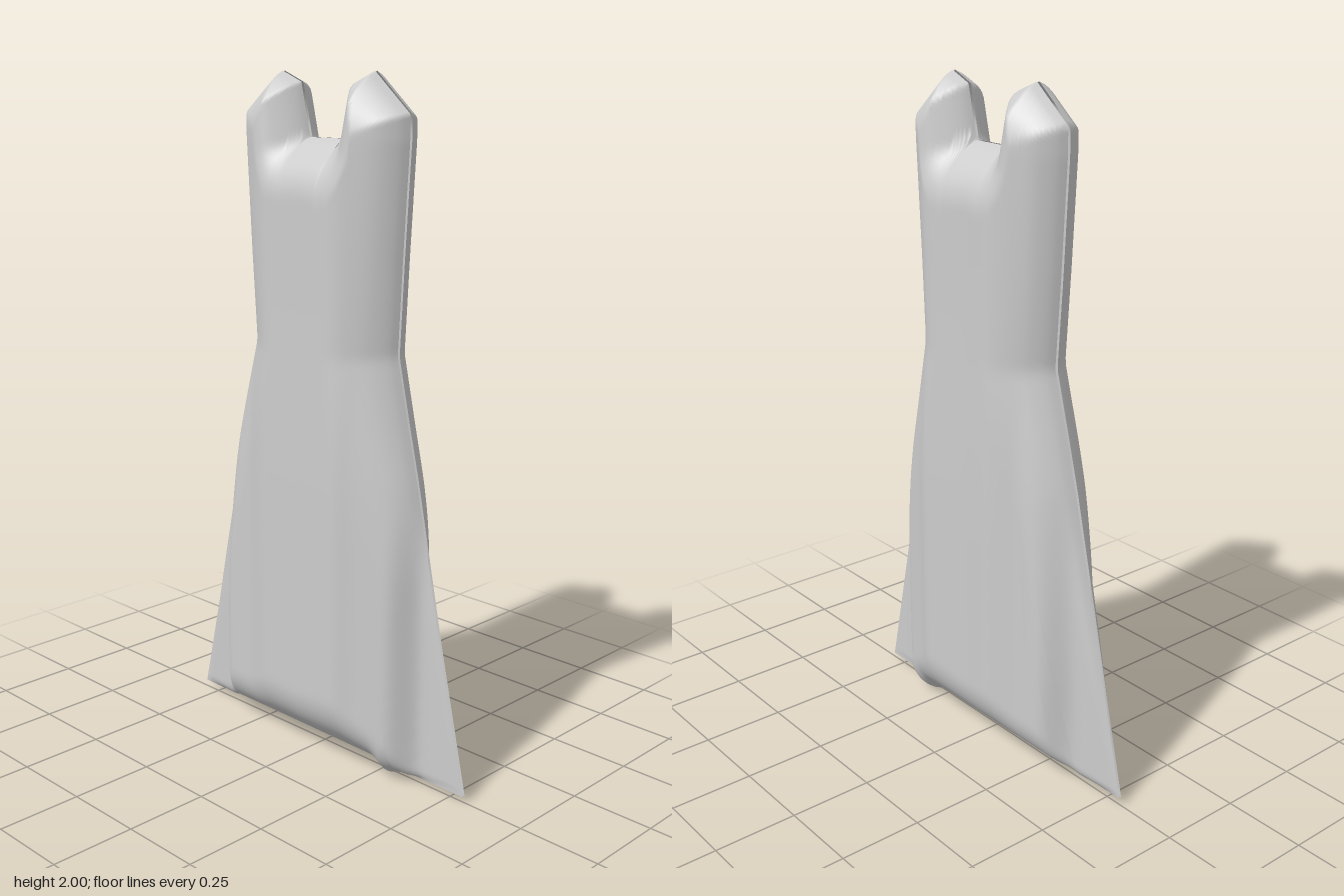
import * as THREE from 'three';

// Side edges as [height, x], hem and neckline as [x, height]
const leftEdge = [[0.023, -0.553], [0.45, -0.452], [0.9, -0.345], [1.05, -0.305], [1.24, -0.252], [1.5, -0.27], [1.82, -0.288]];
const rightEdge = [[0.017, 0.55], [0.45, 0.453], [0.9, 0.36], [1.05, 0.325], [1.24, 0.283], [1.5, 0.297], [1.82, 0.317]];
const hem = [[-0.553, 0.023], [-0.4, 0.023], [-0.36, 0.035], [0.25, 0.031], [0.29, 0], [0.34, 0.017], [0.55, 0.017]];
const neckline = [[-0.288, 1.9], [-0.165, 2], [-0.09, 1.97], [-0.055, 1.82], [0.085, 1.82], [0.12, 1.97], [0.19, 2], [0.317, 1.89]];
// Fullness of the cloth across the width: thin flared sides, full body
const fullness = [[-0.553, 0.004], [-0.38, 0.035], [-0.325, 0.107], [-0.29, 0.112], [-0.22, 0.11], [-0.12, 0.141], [0, 0.136],
  [0.17, 0.147], [0.22, 0.124], [0.34, 0.088], [0.385, 0.013], [0.45, 0.007], [0.55, 0.004]];

// Piecewise linear lookup
function sample(table, t) {
  if (t <= table[0][0]) return table[0][1];
  for (let i = 1; i < table.length; i++) {
    const [a, p] = table[i - 1], [b, q] = table[i];
    if (t <= b) return p + (q - p) * (t - a) / (b - a);
  }
  return table[table.length - 1][1];
}

// Lookup with rounded corners
function softSample(table, t) {
  let sum = 0;
  for (let i = -3; i <= 3; i++) sum += (4 - Math.abs(i)) * sample(table, t + i * 0.009);
  return sum / 16;
}

const flip = ([a, b]) => [b, a];
const outline = [...hem, ...rightEdge.map(flip), ...neckline.slice().reverse(), ...leftEdge.map(flip).reverse()];

// Distance from a point to the outline of the dress
function edgeDistance(x, y) {
  let best = Infinity;
  outline.forEach(([ax, ay], i) => {
    const [bx, by] = outline[(i + 1) % outline.length];
    const dx = bx - ax, dy = by - ay, len = dx * dx + dy * dy;
    const t = len ? THREE.MathUtils.clamp(((x - ax) * dx + (y - ay) * dy) / len, 0, 1) : 0;
    best = Math.min(best, Math.hypot(x - ax - t * dx, y - ay - t * dy));
  });
  return best;
}

// Cloth depth: rounded off towards every edge, blended softly into the body
function depthAt(x, y) {
  const puff = 0.21 * Math.pow(Math.min(1, edgeDistance(x, y) / 0.24), 0.62);
  // The fold beside the right side flare leans inwards towards the waist
  const lean = 0.035 * THREE.MathUtils.smoothstep(y, 0.3, 1) * THREE.MathUtils.smoothstep(-x, 0.15, 0.3);
  const cloth = softSample(fullness, x - lean) * (1 - 0.07 * THREE.MathUtils.smoothstep(y, 0.7, 1.5));
  const blend = Math.max(0, 0.04 - Math.abs(puff - cloth));
  return Math.max(0.004, Math.min(puff, cloth) - blend * blend / 0.16);
}

// Columns include every corner of the neckline and the hem
function columns() {
  const list = [...neckline.map(([x]) => (x + 0.288) / 0.605), ...hem.map(([x]) => (x + 0.553) / 1.103)];
  for (let i = 0; i <= 100; i++) list.push(i / 100);
  return list.sort((a, b) => a - b).filter((u, i, all) => i === 0 || u - all[i - 1] > 1e-4);
}

// One half of the dress; side is 1 for the front and -1 for the back
function panelGeometry(side) {
  const us = columns(), rows = 110, positions = [], index = [];
  for (let r = 0; r <= rows; r++) {
    // Rows crowd towards the hem and the neckline
    const s = r / rows, v = 0.5 * s + 0.5 * (s * s * (3 - 2 * s));
    for (const u of us) {
      const bottom = sample(hem, -0.553 + 1.103 * u), top = sample(neckline, -0.288 + 0.605 * u);
      const y = bottom + (top - bottom) * v;
      const x = THREE.MathUtils.lerp(sample(leftEdge, y), sample(rightEdge, y), u);
      positions.push(x, y, side * depthAt(x, y));
    }
  }
  const n = us.length;
  for (let r = 0; r < rows; r++) {
    for (let c = 0; c < n - 1; c++) {
      const a = r * n + c, b = a + 1, d = a + n, e = d + 1;
      if (side > 0) index.push(a, b, e, a, e, d);
      else index.push(a, e, b, a, d, e);
    }
  }
  const geometry = new THREE.BufferGeometry();
  geometry.setAttribute('position', new THREE.Float32BufferAttribute(positions, 3));
  geometry.setIndex(index);
  geometry.computeVertexNormals();
  return geometry;
}

export function createModel() {
  const cloth = new THREE.MeshStandardMaterial({ color: 0xcccccc, side: THREE.DoubleSide });
  cloth.name = 'grey cloth';
  const dress = new THREE.Group();
  dress.name = 'dress';
  for (const [name, side] of [['frontPanel', 1], ['backPanel', -1]]) {
    const panel = new THREE.Mesh(panelGeometry(side), cloth);
    panel.name = name;
    dress.add(panel);
  }
  return dress;
}
